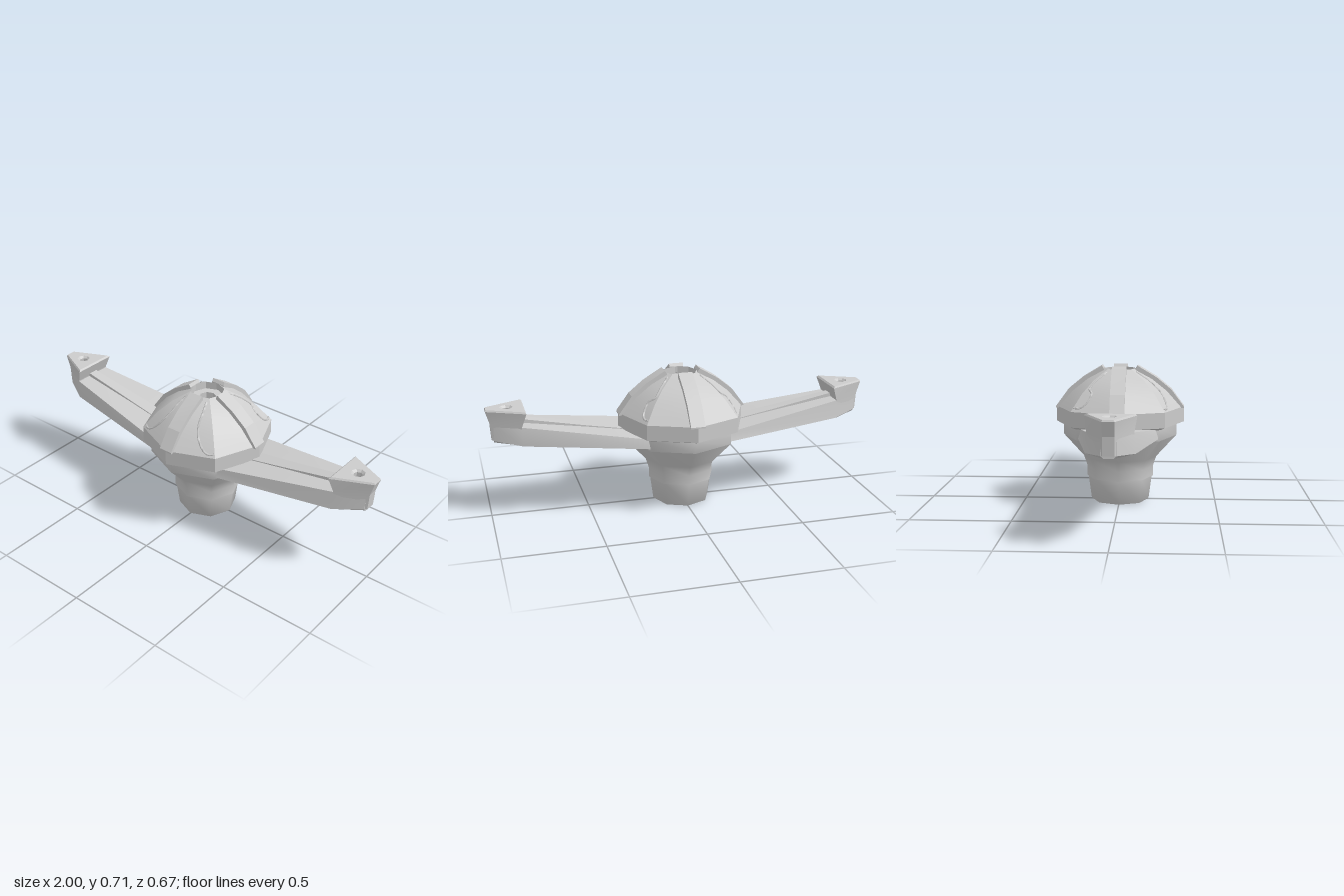
import * as THREE from 'three';
import { toCreasedNormals } from 'three/addons/utils/BufferGeometryUtils.js';

const material = new THREE.MeshStandardMaterial({ color: 0xcccccc });

function part(name, geometry, crease = 0.5) {
  const mesh = new THREE.Mesh(toCreasedNormals(geometry, crease), material);
  mesh.name = name;
  return mesh;
}

const lathe = (points, sides = 8) =>
  new THREE.LatheGeometry(points.map(([r, y]) => new THREE.Vector2(r, y)), sides);

// Skin over rings of equal length, each running counterclockwise about the direction of travel
function loft(rings, capEnd = true) {
  const n = rings[0].length, index = [];
  for (let i = 0; i < rings.length - 1; i++) {
    for (let j = 0; j < n; j++) {
      const a = i * n + j, b = i * n + (j + 1) % n;
      index.push(a, b, b + n, a, b + n, a + n);
    }
  }
  const last = (rings.length - 1) * n;
  for (let j = 1; j < n - 1; j++) {
    index.push(0, j + 1, j);
    if (capEnd) index.push(last, last + j, last + j + 1);
  }
  const g = new THREE.BufferGeometry();
  g.setAttribute('position', new THREE.Float32BufferAttribute(rings.flat(2), 3));
  g.setIndex(index);
  return g;
}

// Dome profile from rim to crown, and its height above any point of the octagonal plan
const dome = [[0.333, 0.495], [0.258, 0.58], [0.18, 0.642], [0.085, 0.693]];
function domeY(x, z) {
  const a = Math.abs(x), b = Math.abs(z);
  const r = Math.max(a, b) + Math.min(a, b) * Math.tan(Math.PI / 8);
  for (let i = 0; i < dome.length - 1; i++) {
    const [r0, y0] = dome[i], [r1, y1] = dome[i + 1];
    if (r >= r1) return y0 + (y1 - y0) * (r0 - r) / (r0 - r1);
  }
  return 0.693;
}

function createArm() {
  const arm = new THREE.Group();

  // Tapering beam with a shallow keel
  const section = ([x, w, top, bot]) => [
    [x, top, 0], [x, top, w * 0.94], [x, bot + 0.012, w], [x, bot, w * 0.6],
    [x, bot, -w * 0.6], [x, bot + 0.012, -w], [x, top, -w * 0.94],
  ];
  arm.add(part('armBeam', loft([
    [0.12, 0.215, 0.39, 0.338], [0.83, 0.112, 0.495, 0.388], [0.965, 0.035, 0.495, 0.402],
  ].map(section)), 0.6));

  // Low ridge along the top of the beam
  const ridge = ([x, w, y]) => [
    [x, y, w], [x, y - 0.04, w], [x, y - 0.04, -w], [x, y, -w],
  ];
  arm.add(part('armRidge', loft([
    [0.2, 0.045, 0.404], [0.5, 0.033, 0.453], [0.84, 0.025, 0.516],
  ].map(ridge))));

  // Flared wedge at the tip
  const outline = ([y, x0, x1, w, t]) => [[x0, y, w], [x1, y, t], [x1, y, -t], [x0, y, -w]];
  arm.add(part('tipBlock', loft([
    [0.415, 0.84, 0.975, 0.1, 0.026], [0.5, 0.83, 0.98, 0.106, 0.026],
    [0.566, 0.807, 1.0, 0.118, 0.028], [0.574, 0.815, 0.996, 0.108, 0.024],
  ].map(outline), false), 0.2));

  // Top of the wedge with a round socket
  const top = new THREE.Shape([[0.815, -0.108], [0.996, -0.024], [0.996, 0.024], [0.815, 0.108]]
    .map(([x, y]) => new THREE.Vector2(x, y)));
  const ring = Array.from({ length: 8 }, (_, i) => {
    const a = -i * Math.PI / 4;
    return new THREE.Vector2(0.895 + 0.034 * Math.cos(a), 0.034 * Math.sin(a));
  });
  top.holes.push(new THREE.Path(ring));
  arm.add(part('tipTop', new THREE.ShapeGeometry(top).rotateX(-Math.PI / 2).translate(0, 0.574, 0)));
  arm.add(part('tipSocket',
    lathe([[0.034, 0.574], [0.022, 0.563], [0.022, 0.52], [0, 0.52]]).translate(0.895, 0, 0)));
  return arm;
}

export function createModel() {
  const model = new THREE.Group();
  model.name = 'hub';

  // Hollow spigot, collar and flaring neck
  model.add(part('neck', lathe([
    [0, 0.19], [0.15, 0.19], [0.138, 0], [0.146, 0], [0.151, 0.006], [0.167, 0.126],
    [0.173, 0.126], [0.173, 0.178], [0.19, 0.23], [0.295, 0.345], [0.295, 0.407],
  ]), 0.9));

  // Octagonal rim, faceted dome and recessed crown
  model.add(part('dome', lathe([
    [0.28, 0.403], [0.3, 0.403], [0.333, 0.416], ...dome,
    [0.085, 0.655], [0.045, 0.655], [0.045, 0.6], [0, 0.6],
  ]), 0.3));

  // Four ribs over the corners of the dome
  const ribShape = new THREE.Shape([
    [0.333, 0.49], [0.333, 0.497], [0.267, 0.587], [0.19, 0.65], [0.092, 0.709],
    [0.082, 0.694], [0.082, 0.66], [0.2, 0.49],
  ].map(([x, y]) => new THREE.Vector2(x, y)));
  for (let i = 0; i < 4; i++) {
    const g = new THREE.ExtrudeGeometry(ribShape, { depth: 0.074, bevelEnabled: false });
    const rib = part('rib', g.translate(0, 0, -0.037), 0.2);
    rib.rotation.y = i * Math.PI / 2;
    model.add(rib);
  }

  // Winding veins lying on the dome, mirrored left and right
  const veins = [
    [[0.06, 0.085], [0.08, 0.14], [0.09, 0.18], [0.12, 0.222], [0.17, 0.243], [0.205, 0.238], [0.222, 0.225]],
    [[0.085, -0.06], [0.135, -0.115], [0.17, -0.145], [0.2, -0.132], [0.23, -0.155], [0.238, -0.19], [0.225, -0.222]],
  ];
  for (const side of [1, -1]) {
    for (const vein of veins) {
      const flat = new THREE.CatmullRomCurve3(vein.map(([x, z]) => new THREE.Vector3(side * x, 0, z)));
      const path = flat.getPoints(20).map(p => p.setY(domeY(p.x, p.z)));
      const tube = new THREE.TubeGeometry(new THREE.CatmullRomCurve3(path), 28, 0.006, 5);
      model.add(part('vein', tube, 1.4));
    }
  }

  // Two opposite arms
  for (const [name, turn] of [['leftArm', 0], ['rightArm', Math.PI]]) {
    const arm = createArm();
    arm.name = name;
    arm.rotation.y = turn;
    model.add(arm);
  }
  return model;
}
